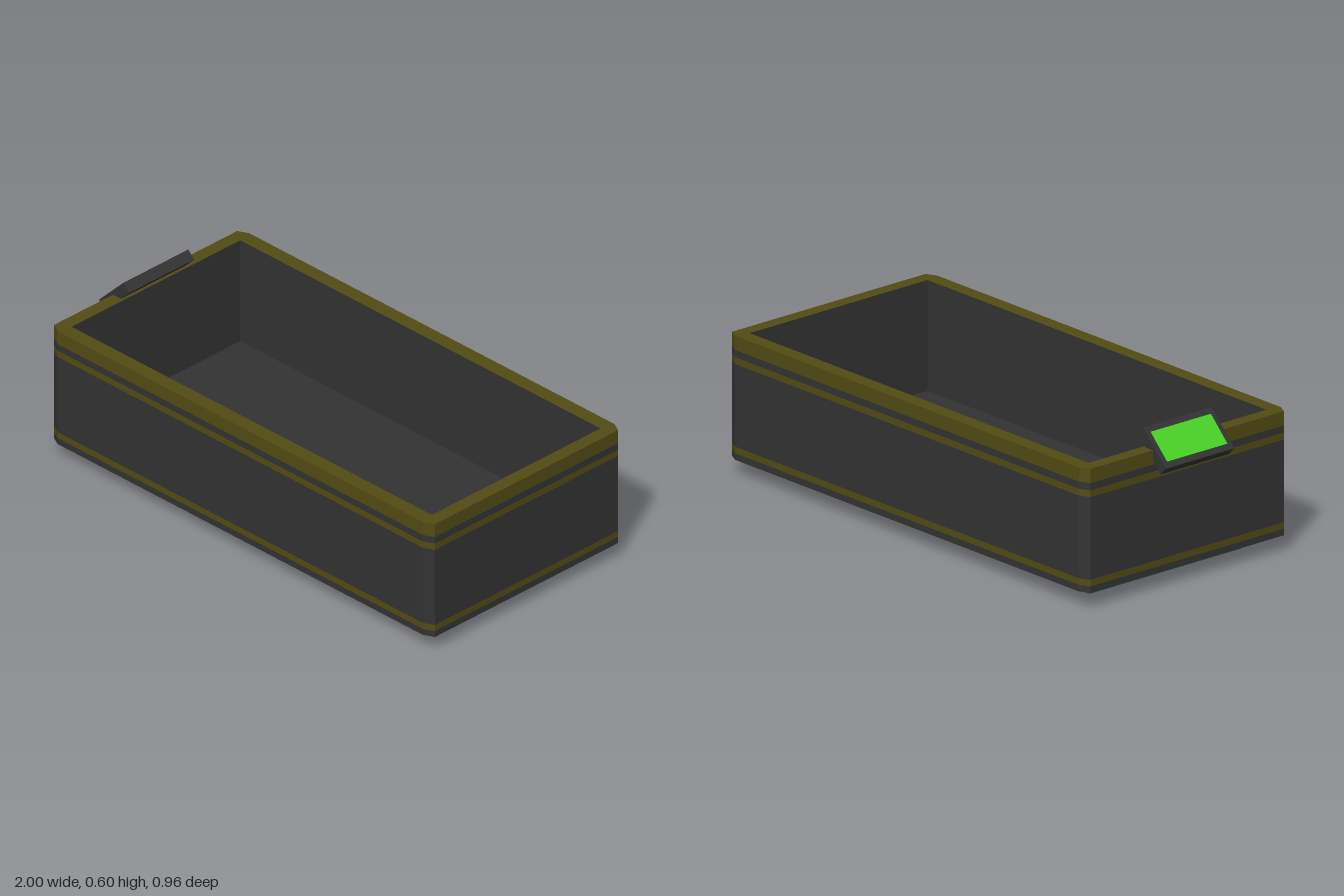
import * as THREE from 'three';

const CX = 0.035; // the tub sits off centre, leaving room for the side panel
const mat = (color) => new THREE.MeshStandardMaterial({ color, flatShading: true });
const dark = mat(0x333333), olive = mat(0x524b14), teal = mat(0x439a97), green = mat(0x49d428);

// Rectangle with cut corners at height y: half sizes hx, hz and corner cuts cx, cz
function loop(y, hx, hz, cx = 0, cz = 0) {
  return [
    [hx, hz - cz], [hx, cz - hz], [hx - cx, -hz], [cx - hx, -hz],
    [-hx, cz - hz], [-hx, hz - cz], [cx - hx, hz], [hx - cx, hz],
  ].map(([x, z]) => new THREE.Vector3(x + CX, y, z));
}

// Flat-shaded skin through successive loops, leaving out collapsed triangles
function loft(name, material, loops) {
  const pos = [];
  const tri = (...p) => {
    if (new THREE.Triangle(...p).getArea() > 1e-7) p.forEach((v) => pos.push(v.x, v.y, v.z));
  };
  for (let k = 0; k < loops.length - 1; k++) {
    const a = loops[k], b = loops[k + 1];
    for (let i = 0; i < 8; i++) {
      const j = (i + 1) % 8;
      tri(a[i], a[j], b[j]);
      tri(a[i], b[j], b[i]);
    }
  }
  const geo = new THREE.BufferGeometry();
  geo.setAttribute('position', new THREE.Float32BufferAttribute(pos, 3));
  geo.computeVertexNormals();
  const mesh = new THREE.Mesh(geo, material);
  mesh.name = name;
  return mesh;
}

export function createModel() {
  const model = new THREE.Group();
  model.name = 'tub';
  const outer = (y) => loop(y, 0.965, 0.48, 0.04, 0.02);
  const inner = (y) => loop(y, 0.912, 0.423);
  const centre = (y) => loop(y, 0, 0);

  // Outer walls, divided into dark and olive bands
  const bands = [
    ['lowerWall', dark, 0.06, 0.085], ['lowerStripe', olive, 0.085, 0.11],
    ['mainWall', dark, 0.11, 0.423], ['upperStripe', olive, 0.423, 0.449],
    ['upperWall', dark, 0.449, 0.476], ['rimBand', olive, 0.476, 0.53],
  ];
  for (const [name, m, y0, y1] of bands) model.add(loft(name, m, [outer(y0), outer(y1)]));

  // Top rim, hollow interior and bevelled underside
  model.add(loft('rimTop', olive, [outer(0.53), inner(0.53)]));
  model.add(loft('interior', dark, [inner(0.53), inner(0.11), centre(0.11)]));
  model.add(loft('underside', dark, [centre(0.05), loop(0.05, 0.91, 0.46, 0.04, 0.02), outer(0.06)]));

  // Tapered base with triangular corner facets
  model.add(loft('base', teal, [centre(0), loop(0, 0.845, 0.36), loop(0.05, 0.905, 0.42, 0.06, 0.06)]));

  // Tilted control panel with its screen, on the right-hand end
  const panel = new THREE.Group();
  panel.name = 'controlPanel';
  const casing = new THREE.Mesh(new THREE.BoxGeometry(0.174, 0.042, 0.326), dark);
  casing.name = 'panelCasing';
  const screen = new THREE.Mesh(new THREE.BoxGeometry(0.126, 0.004, 0.286), green);
  screen.name = 'panelScreen';
  screen.position.y = 0.0205;
  panel.add(casing, screen);
  panel.position.set(-0.924, 0.526, 0);
  panel.rotation.z = Math.PI / 4;
  model.add(panel);

  return model;
}
